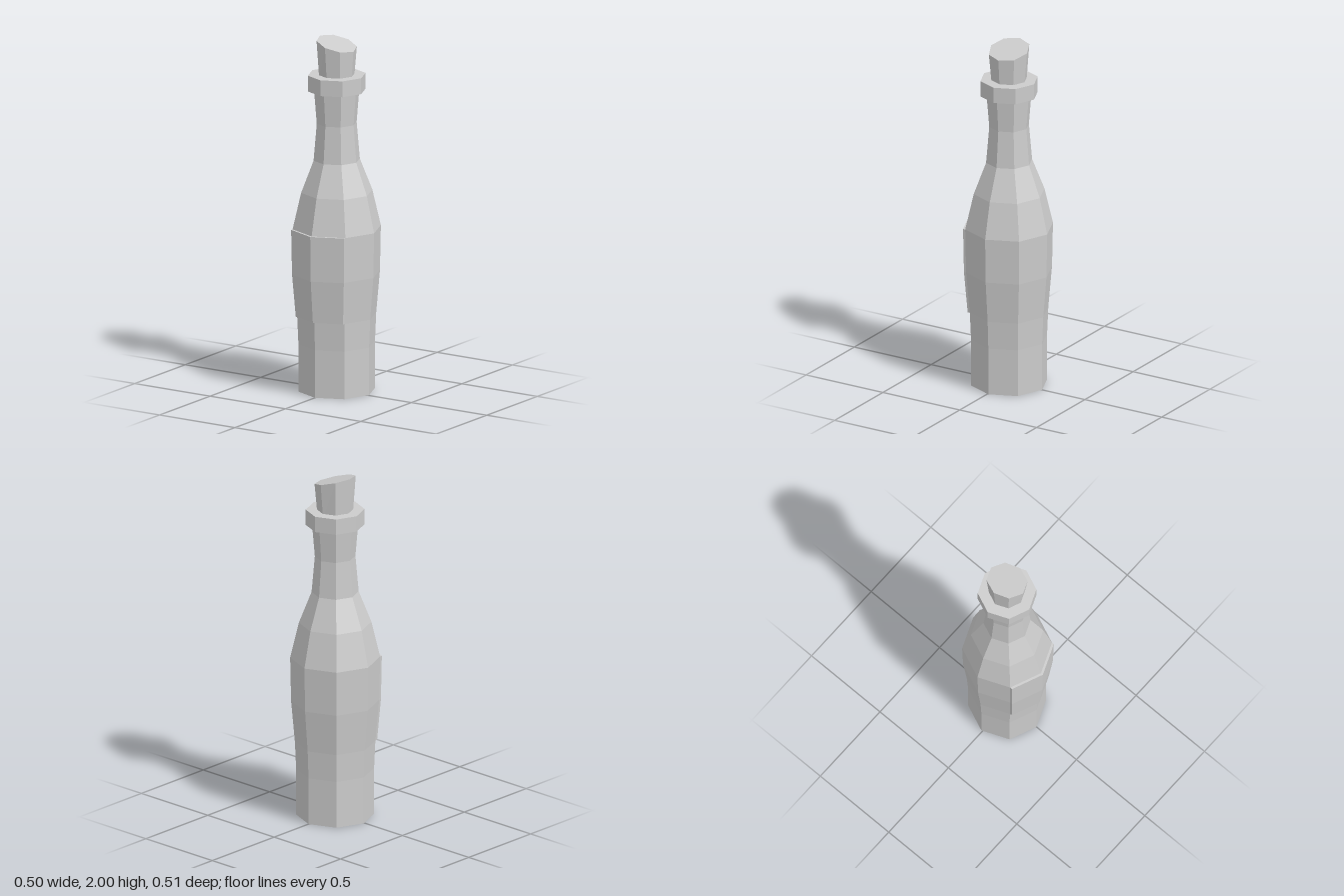
import * as THREE from 'three';

const SIDES = 8;
const CENTRE_Z = -0.007;

const material = new THREE.MeshStandardMaterial({ color: 0xcccccc, flatShading: true });

function facetedMesh(name, geometry) {
  const flat = geometry.toNonIndexed();
  flat.computeVertexNormals();
  const mesh = new THREE.Mesh(flat, material);
  mesh.name = name;
  mesh.position.z = CENTRE_Z;
  return mesh;
}

function lathe(profile) {
  return new THREE.LatheGeometry(profile.map(([r, y]) => new THREE.Vector2(r, y)), SIDES);
}

// Label: two front faces of the body moved forward, with thin rims back to the glass
function labelGeometry(rows, thickness) {
  const profile = [rows[0], ...rows, rows[rows.length - 1]];
  const geometry = lathe(profile.map(([r, y]) => [r, y]));
  const angles = [-1, -1, 0, 1, 1].map((k) => (k * Math.PI) / 4);
  const n = profile.length;
  const sheet = new THREE.LatheGeometry(profile.map(([r, y]) => new THREE.Vector2(r, y)), angles.length - 1);
  geometry.dispose();
  const pos = sheet.attributes.position;
  angles.forEach((a, i) => {
    profile.forEach(([r, y], j) => {
      const rim = i === 0 || i === angles.length - 1 || j === 0 || j === n - 1;
      pos.setXYZ(i * n + j, r * Math.sin(a), y, r * Math.cos(a) + (rim ? 0 : thickness));
    });
  });
  return sheet;
}

export function createModel() {
  const model = new THREE.Group();
  model.name = 'bottle';

  // Glass body, from the closed base up to the neck
  const labelRows = [[0.222, 0.43], [0.243, 0.67], [0.248, 0.925]];
  model.add(facetedMesh('body', lathe([
    [0, 0], [0.215, 0], [0.215, 0.27],
    ...labelRows,
    [0.2, 1.13], [0.13, 1.31], [0.112, 1.52], [0.127, 1.705], [0, 1.705],
  ])));

  model.add(facetedMesh('label', labelGeometry(labelRows, 0.014)));

  // Lip ring around the mouth
  model.add(facetedMesh('lipRing', lathe([[0, 1.705], [0.162, 1.705], [0.162, 1.795], [0, 1.795]])));

  // Tapered cork with a slanted top
  const cork = new THREE.CylinderGeometry(0.111, 0.098, 0.2, SIDES);
  cork.translate(0, 1.87, 0);
  const pos = cork.attributes.position;
  for (let i = 0; i < pos.count; i++) {
    if (pos.getY(i) > 1.9) {
      pos.setY(i, 1.969 - 0.28 * pos.getX(i));
      pos.setZ(i, pos.getZ(i) * 1.05);
    }
  }
  model.add(facetedMesh('cork', cork));

  return model;
}
